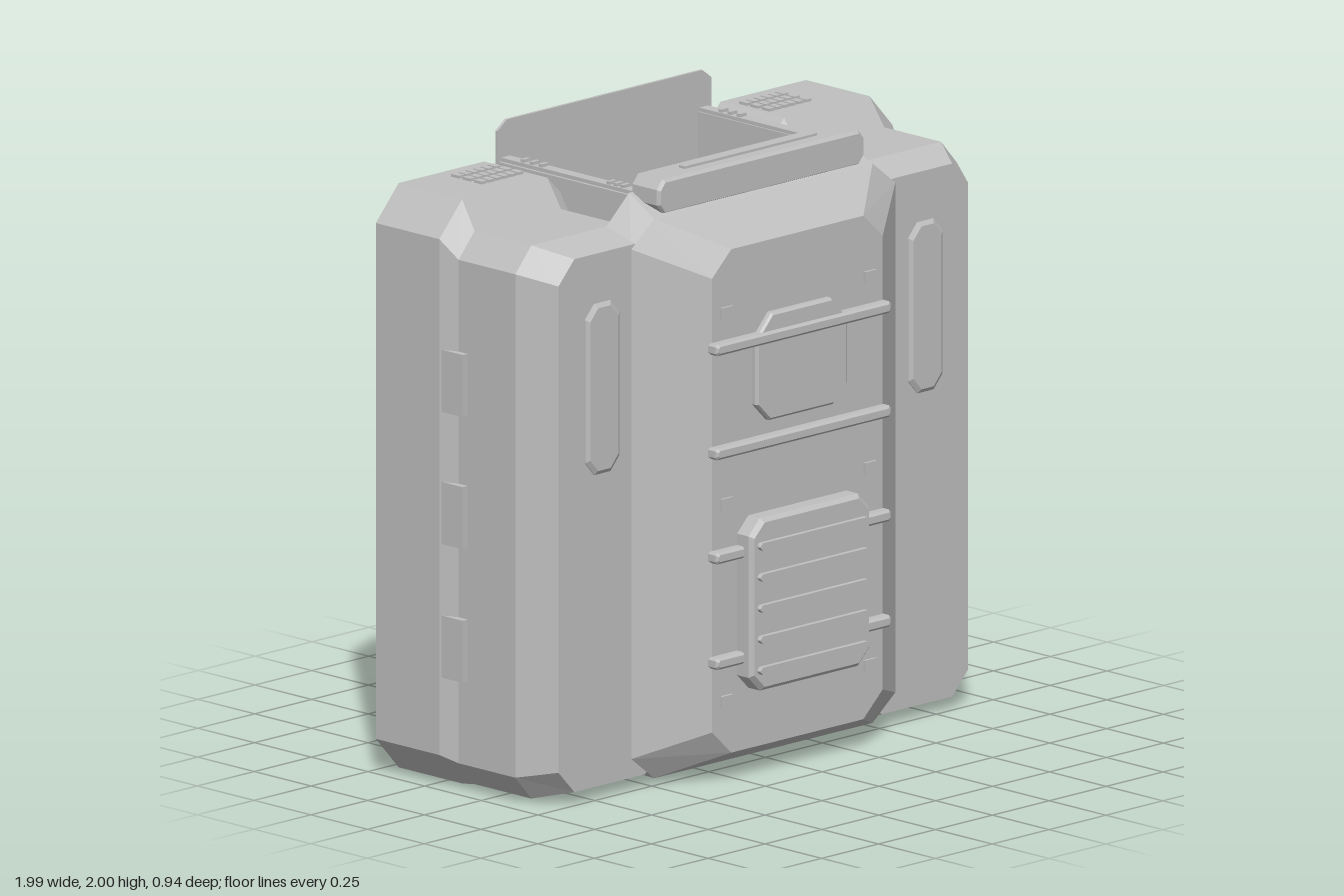
import * as THREE from 'three';

const grey = new THREE.MeshStandardMaterial({ color: 0xbfbfbf, flatShading: true });
grey.name = 'plain grey';

// Eight-sided outline, counter-clockwise; left and right corner cuts are [dx, dy]
function octagon(x0, x1, y0, y1, cutL, cutR = cutL) {
  const [a, b] = cutL, [c, d] = cutR;
  return [[x0 + a, y0], [x1 - c, y0], [x1, y0 + d], [x1, y1 - d],
    [x1 - c, y1], [x0 + a, y1], [x0, y1 - b], [x0, y0 + b]];
}

// Solid through convex outlines [z, points] ordered from back to front
function loft(sections) {
  const pos = [], n = sections[0][1].length;
  const at = (s, i) => [...sections[s][1][i % n], sections[s][0]];
  const tri = (...p) => p.forEach((q) => pos.push(...q));
  const last = sections.length - 1;
  for (let s = 0; s < last; s++) {
    for (let i = 0; i < n; i++) {
      tri(at(s, i), at(s, i + 1), at(s + 1, i + 1));
      tri(at(s, i), at(s + 1, i + 1), at(s + 1, i));
    }
  }
  for (let i = 1; i < n - 1; i++) {
    tri(at(0, 0), at(0, i + 1), at(0, i));
    tri(at(last, 0), at(last, i), at(last, i + 1));
  }
  const g = new THREE.BufferGeometry();
  g.setAttribute('position', new THREE.Float32BufferAttribute(pos, 3));
  g.computeVertexNormals();
  return g;
}

// Mirror sections across x = 0 while keeping the winding
const flip = (sections) => sections.map(([z, pts]) => [z, pts.map(([x, y]) => [-x, y]).reverse()]);

export function createModel() {
  const model = new THREE.Group();
  model.name = 'armouredBackpack';

  const add = (name, geometry) => {
    const mesh = new THREE.Mesh(geometry, grey);
    mesh.name = name;
    model.add(mesh);
    return mesh;
  };
  const box = (name, x0, x1, y0, y1, z0, z1) =>
    add(name, new THREE.BoxGeometry(x1 - x0, y1 - y0, z1 - z0))
      .position.set((x0 + x1) / 2, (y0 + y1) / 2, (z0 + z1) / 2);
  const pair = (name, sections) => {
    add('left' + name, loft(sections));
    add('right' + name, loft(flip(sections)));
  };
  const boxPair = (name, x0, x1, ...rest) => {
    box('left' + name, x0, x1, ...rest);
    box('right' + name, -x1, -x0, ...rest);
  };

  // Side pods: tall rear block stepping down to a bevelled front block
  const inner = [0.06, 0.06];
  const rear = octagon(0.46, 0.995, 0, 1.88, inner, [0.1, 0.11]);
  const front = octagon(0.46, 0.97, 0.01, 1.79, inner, [0.07, 0.08]);
  pair('Pod', [
    [-0.47, rear], [-0.19, rear], [-0.13, front], [0.12, front],
    [0.24, octagon(0.46, 0.9, 0.04, 1.755, inner, [0.07, 0.075])],
  ]);

  // Raised strip on the front of each pod
  pair('PodStrip', [
    [0.23, octagon(0.635, 0.785, 1.045, 1.595, [0.04, 0.045])],
    [0.243, octagon(0.635, 0.785, 1.045, 1.595, [0.04, 0.045])],
    [0.252, octagon(0.648, 0.772, 1.058, 1.582, [0.035, 0.04])],
  ]);

  // Clips on the outer sides of the pods
  for (const y of [0.36, 0.79, 1.215]) boxPair('SideClip', 0.95, 0.992, y, y + 0.2, -0.185, -0.09);

  // Vent slats on top of the pods
  for (let row = 0; row < 3; row++) {
    for (let col = 0; col < 6; col++) {
      const x = 0.54 + col * 0.032, z = -0.41 + row * 0.05;
      boxPair('TopVent', x, x + 0.024, 1.87, 1.889, z, z + 0.035);
    }
  }

  // Central front shell with faceted edges
  add('frontShell', loft([
    [0.12, octagon(-0.58, 0.58, 0.02, 1.88, [0.11, 0.1])],
    [0.24, octagon(-0.58, 0.58, 0.02, 1.82, [0.1, 0.08])],
    [0.39, octagon(-0.375, 0.375, 0.095, 1.715, [0.085, 0.08])],
  ]));

  // Open-topped compartment
  boxPair('CompartmentWall', 0.41, 0.465, 0.03, 1.87, -0.465, 0.12);
  box('compartmentFront', -0.41, 0.41, 0.03, 1.88, 0.08, 0.13);
  box('compartmentFloor', -0.41, 0.41, 0.03, 0.22, -0.465, 0.08);
  add('backPlate', loft([-0.47, -0.46].map((z) => [z, [
    [-0.46, 0.03], [0.46, 0.03], [0.47, 1.86], [0.47, 1.97],
    [0.43, 2], [-0.43, 2], [-0.47, 1.97], [-0.47, 1.86],
  ]])));

  // Rails and small studs along the opening
  boxPair('OpeningRail', 0.415, 0.455, 1.86, 1.882, -0.46, 0.12);
  for (const z of [0, 0.03, 0.06, -0.3, -0.34, -0.38]) {
    boxPair('RailStud', 0.42, 0.45, 1.87, 1.892, z, z + 0.015);
  }

  // Front lip of the opening
  const lip = octagon(-0.455, 0.455, 1.825, 1.935, [0.025, 0.03]);
  add('openingLip', loft([
    [0.12, lip], [0.225, lip],
    [0.235, octagon(-0.445, 0.445, 1.83, 1.925, [0.02, 0.025])],
  ]));
  box('lipInset', -0.29, 0.29, 1.93, 1.943, 0.16, 0.185);

  // Horizontal front rails
  for (const y of [0.4, 0.74, 1.075, 1.41]) {
    add('frontRail', loft([
      [0.37, octagon(-0.385, 0.385, y - 0.019, y + 0.019, [0.008, 0.008])],
      [0.415, octagon(-0.385, 0.385, y - 0.019, y + 0.019, [0.008, 0.008])],
      [0.423, octagon(-0.377, 0.377, y - 0.011, y + 0.011, [0.006, 0.006])],
    ]));
  }

  // Square studs
  for (const y of [0.265, 0.9, 1.515]) boxPair('FrontStud', 0.29, 0.34, y - 0.02, y + 0.02, 0.38, 0.399);

  // Upper badge plate
  const badge = (s) => [[-0.14, 1.14 + s], [0.14, 1.14 + s], [0.2 - s, 1.2], [0.2 - s, 1.41],
    [0.13, 1.485 - s], [-0.13, 1.485 - s], [-0.2 + s, 1.41], [-0.2 + s, 1.2]];
  add('upperPlate', loft([[0.38, badge(0)], [0.405, badge(0)], [0.413, badge(0.008)]]));

  // Lower grille with raised bars
  const grille = octagon(-0.265, 0.265, 0.29, 0.845, [0.05, 0.05]);
  add('grillePlate', loft([
    [0.38, grille], [0.44, grille],
    [0.454, octagon(-0.252, 0.252, 0.303, 0.832, [0.045, 0.045])],
  ]));
  for (let i = 0; i < 5; i++) {
    const y = 0.36 + i * 0.1;
    add('grilleBar', loft([0.44, 0.47].map((z) =>
      [z, octagon(-0.24, 0.24, y - 0.012, y + 0.012, [0.01, 0.01])])));
  }

  return model;
}
